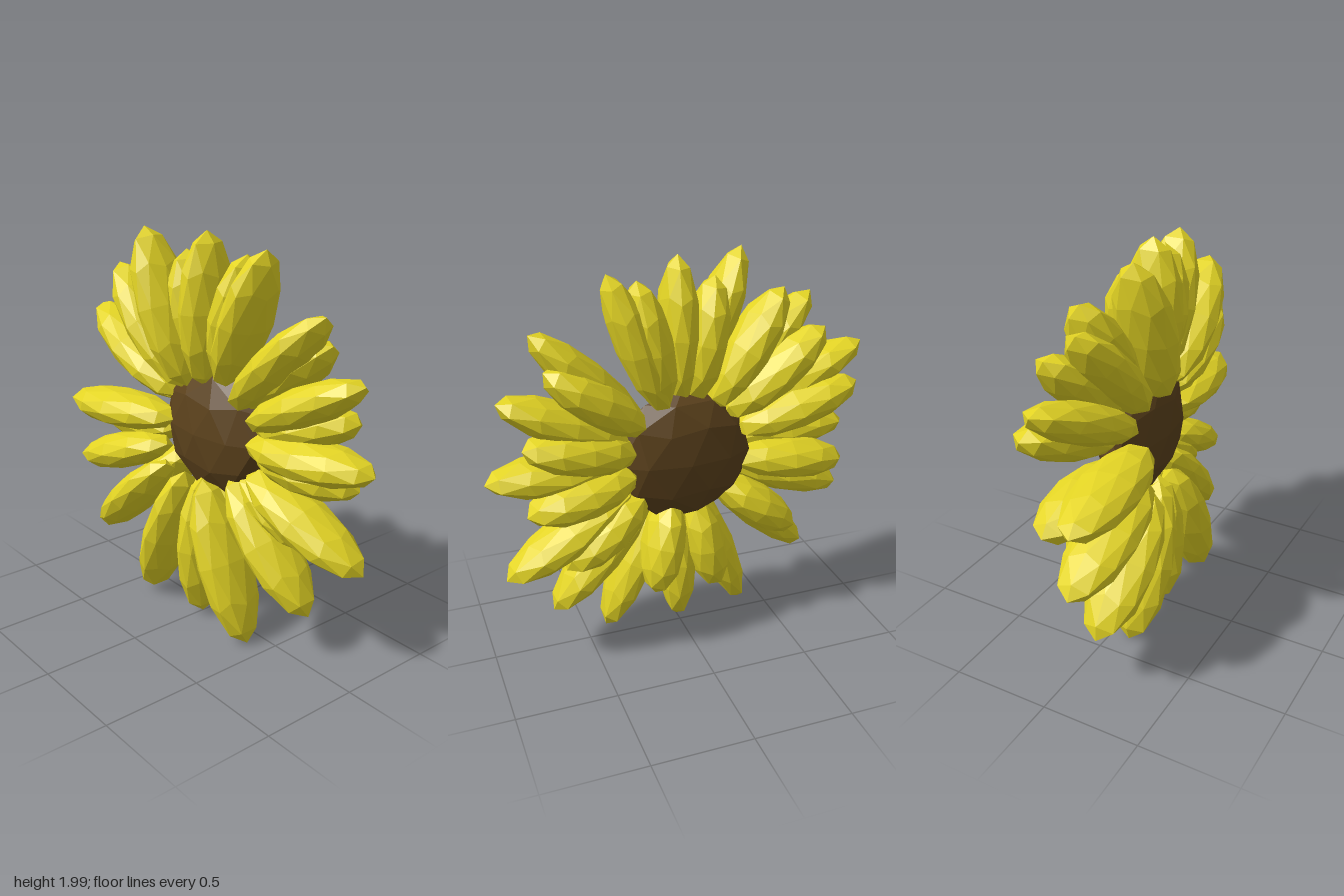
import * as THREE from 'three';

// Faceted ball with a vertex at each end of its y axis
function facetedBall() {
  const g = new THREE.IcosahedronGeometry(1, 1);
  g.rotateZ(-Math.atan(2 / (1 + Math.sqrt(5))));
  return g;
}

// Each petal: tip x, tip y, tip z, inner x, inner y, inner z
const FRONT_PETALS = [
  [0, 2, 0.03, 0, 1.24, 0.03],
  [0.36, 1.95, -0.02, 0.08, 1.24, -0.02],
  [0.73, 1.71, -0.03, 0.19, 1.18, 0.01],
  [0.91, 1.43, -0.1, 0.26, 1.11, -0.02],
  [0.99, 1.04, -0.1, 0.26, 1.02, -0.01],
  [0.93, 0.53, -0.13, 0.25, 0.87, -0.02],
  [0.69, 0.25, -0.03, 0.16, 0.83, 0.01],
  [0.39, 0.01, 0.09, 0.06, 0.79, 0.11],
  [0, 0.01, 0.06, 0, 0.78, 0.05],
  [-0.38, 0.01, 0.1, -0.08, 0.79, 0.11],
  [-0.76, 0.28, 0.14, -0.2, 0.8, 0.14],
  [-0.96, 0.63, 0.13, -0.23, 0.89, 0.11],
  [-0.99, 0.98, 0.17, -0.2, 1.03, 0.09],
  [-0.97, 1.49, -0.01, -0.23, 1.14, 0.04],
  [-0.7, 1.76, 0.05, -0.15, 1.2, 0.04],
  [-0.36, 1.99, 0.13, -0.07, 1.24, 0.1],
];
const BACK_PETALS = [
  [0.22, 1.91, -0.03, 0.09, 1.27, -0.02],
  [-0.18, 1.89, 0.01, -0.07, 1.27, 0],
  [-0.51, 1.82, -0.05, -0.15, 1.24, -0.03],
  [-0.71, 1.62, -0.11, -0.21, 1.2, -0.05],
  [-0.9, 1.32, -0.12, -0.26, 1.11, -0.04],
  [-0.89, 0.86, -0.04, -0.26, 0.95, 0],
  [-0.62, 0.5, -0.04, -0.19, 0.83, -0.01],
  [-0.18, 0.23, -0.05, -0.06, 0.76, -0.01],
  [0.18, 0.3, -0.13, 0.06, 0.79, -0.02],
  [0.64, 0.55, -0.16, 0.2, 0.84, -0.03],
  [0.82, 0.89, -0.2, 0.25, 0.97, -0.07],
  [0.82, 1.22, -0.18, 0.25, 1.08, -0.07],
  [0.69, 1.56, -0.12, 0.2, 1.19, -0.06],
];

export function createModel() {
  const flower = new THREE.Group();
  flower.name = 'flower';
  const ball = facetedBall();
  const yellow = new THREE.MeshStandardMaterial({ color: 0xe3d424, flatShading: true });
  const brown = new THREE.MeshStandardMaterial({ color: 0x5c421c, flatShading: true });

  // Seed head
  const head = new THREE.Mesh(ball, brown);
  head.name = 'seedHead';
  head.scale.set(0.36, 0.34, 0.15);
  head.position.set(0, 1.01, -0.03);
  flower.add(head);

  // Stretched petals, narrow across and deep from front to back
  function addRing(list, name, width, depth) {
    const ring = new THREE.Group();
    ring.name = name;
    for (const p of list) {
      const tip = new THREE.Vector3(p[0], p[1], p[2]);
      const inner = new THREE.Vector3(p[3], p[4], p[5]);
      const along = tip.clone().sub(inner);
      const halfLength = along.length() / 2;
      along.normalize();
      const across = new THREE.Vector3().crossVectors(along, new THREE.Vector3(0, 0, 1)).normalize();
      const out = new THREE.Vector3().crossVectors(across, along);
      const petal = new THREE.Mesh(ball, yellow);
      petal.name = 'petal';
      petal.quaternion.setFromRotationMatrix(new THREE.Matrix4().makeBasis(across, along, out));
      petal.position.copy(tip).add(inner).multiplyScalar(0.5);
      petal.scale.set(width, halfLength, depth);
      ring.add(petal);
    }
    flower.add(ring);
  }
  addRing(FRONT_PETALS, 'frontPetals', 0.1, 0.16);
  addRing(BACK_PETALS, 'backPetals', 0.108, 0.16);
  return flower;
}
